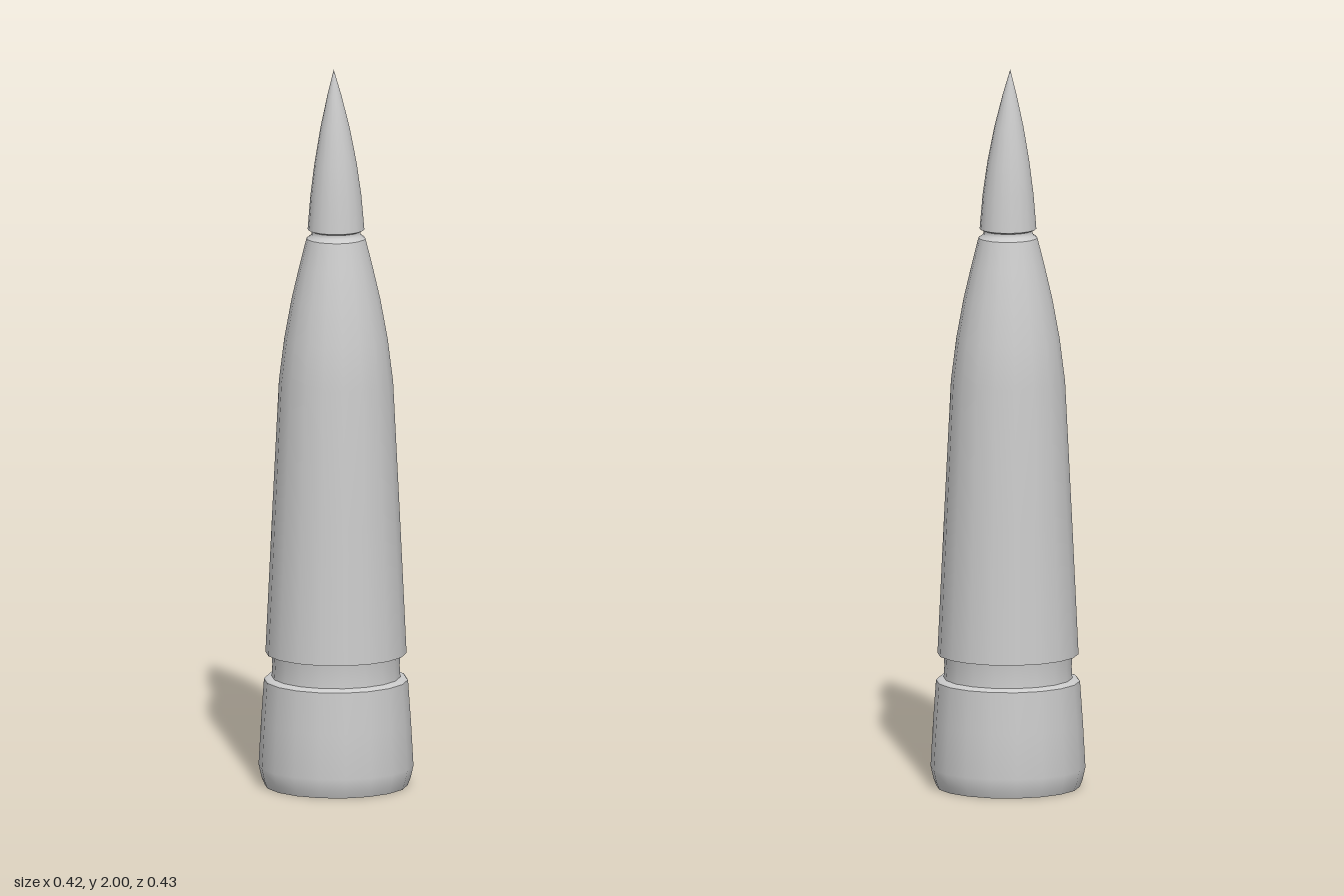
import * as THREE from 'three';

const SIDES = 18;

export function createModel() {
  const group = new THREE.Group();
  const material = new THREE.MeshStandardMaterial({ color: 0xcccccc, side: THREE.DoubleSide });

  // Turned section from [radius, height] pairs, listed bottom to top
  function turned(name, profile) {
    const points = profile.map(([r, y]) => new THREE.Vector2(r, y));
    const mesh = new THREE.Mesh(new THREE.LatheGeometry(points, SIDES), material);
    mesh.name = name;
    group.add(mesh);
    return mesh;
  }

  // Base cup with a chamfered foot and a flat underside
  turned('baseUnderside', [[0, 0], [0.197, 0]]);
  turned('baseCup', [[0.197, 0], [0.205, 0.02], [0.213, 0.055], [0.206, 0.18], [0.198, 0.295]]);
  turned('baseRim', [[0.198, 0.295], [0.193, 0.3], [0.177, 0.303]]);

  // Recessed neck between base and body
  turned('lowerNeck', [[0.177, 0.303], [0.175, 0.335], [0.177, 0.368]]);

  // Long tapering body with a curved shoulder
  turned('bodyLip', [[0.177, 0.368], [0.194, 0.37]]);
  turned('body', [[0.194, 0.37], [0.176, 0.75], [0.157, 1.13], [0.142, 1.25],
    [0.122, 1.36], [0.101, 1.45], [0.081, 1.53]]);

  // Narrow groove under the tip
  turned('upperNeck', [[0.081, 1.53], [0.067, 1.54], [0.067, 1.55]]);
  turned('tipLip', [[0.067, 1.55], [0.078, 1.555]]);

  // Pointed tip, leaning slightly off axis towards its point
  const tip = turned('tip', [[0.078, 1.555], [0.07, 1.65], [0.058, 1.74],
    [0.04, 1.84], [0.019, 1.93], [0, 2]]);
  const position = tip.geometry.attributes.position;
  for (let i = 0; i < position.count; i++) {
    const lean = ((position.getY(i) - 1.555) / 0.445) ** 2;
    position.setX(i, position.getX(i) - 0.01 * lean);
    position.setZ(i, position.getZ(i) - 0.004 * lean);
  }

  return group;
}
